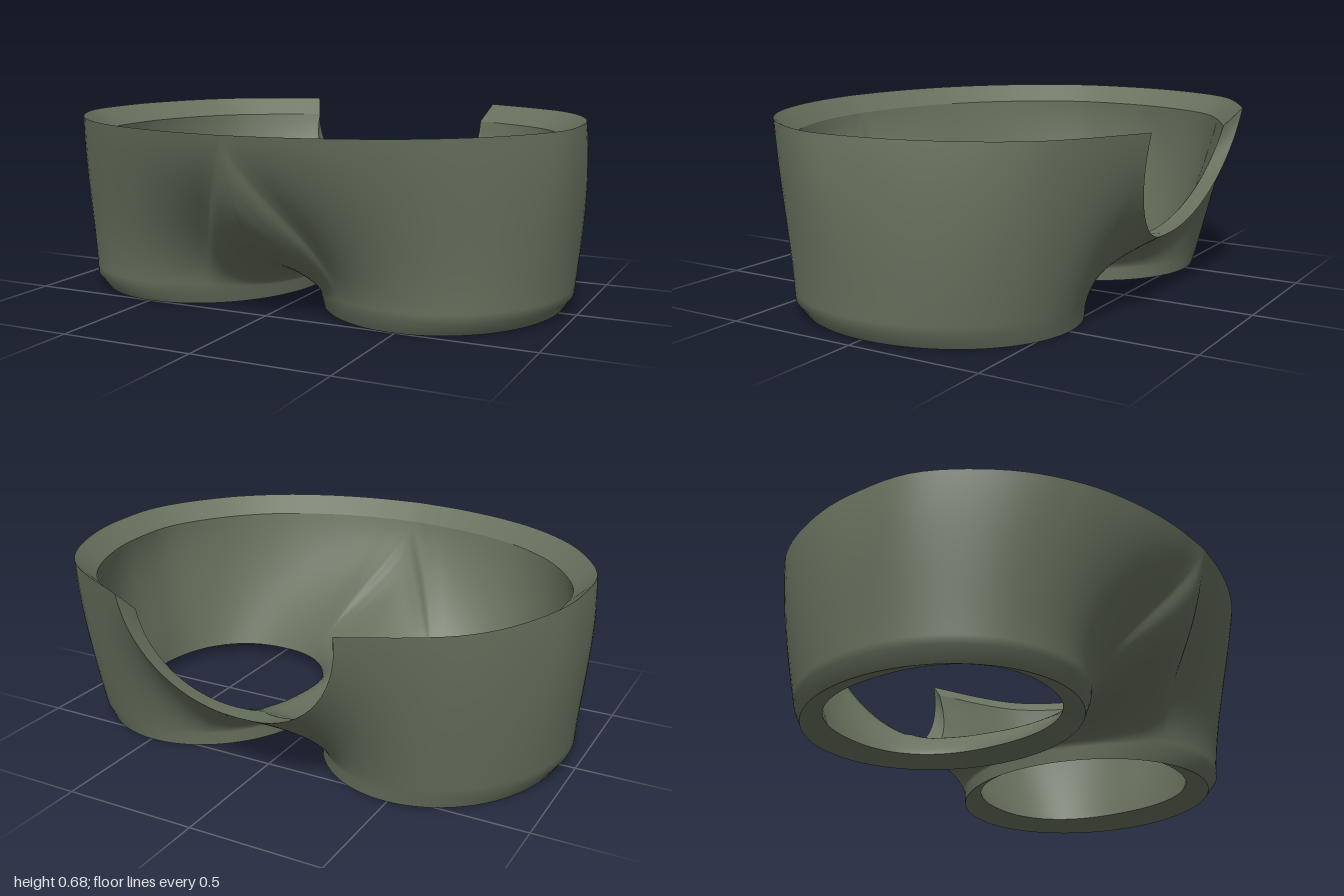
import * as THREE from 'three';
import { mergeVertices } from 'three/addons/utils/BufferGeometryUtils.js';

const V = (x, y, z) => new THREE.Vector3(x, y, z);
const rad = THREE.MathUtils.degToRad;
const lerp = THREE.MathUtils.lerp;
const bend = (v, e) => Math.sign(v) * Math.pow(Math.abs(v), e);

// Centre seams from front waist, under the crotch, to the back opening: y, z
const SEAM_ANGLES = [118, 124, 130, 138, 152, 175, 200, 219, 229, 235];
const OUTER_SEAM = [[0.68, 0.8], [0.5, 0.75], [0.35, 0.66], [0.22, 0.5], [0.13, 0.3],
  [0.09, 0.05], [0.1, -0.2], [0.14, -0.4], [0.19, -0.55], [0.25, -0.66]];
const INNER_SEAM = [[0.61, 0.735], [0.47, 0.68], [0.35, 0.59], [0.25, 0.46], [0.18, 0.3],
  [0.15, 0.05], [0.16, -0.2], [0.18, -0.37], [0.2, -0.46], [0.235, -0.55]];

// Half of the waist line, from the back opening to the front centre
const waistLine = new THREE.CatmullRomCurve3([
  [0.42, -0.785], [0.65, -0.665], [0.78, -0.57], [0.88, -0.43], [0.965, -0.2], [0.985, -0.02],
  [0.965, 0.2], [0.8, 0.475], [0.6, 0.64], [0.4, 0.73], [0.2, 0.78], [0, 0.8],
].map(([x, z]) => V(x, 0.68, z)));

// Leg outlines: wall start, folded bottom edge, and inner edge of the hem
const legPoint = (a, cx, cz, rx, rz, y, e = 1) =>
  V(cx + rx * bend(Math.cos(a), e), y, cz + rz * bend(Math.sin(a), e));
const cuff = (a) => legPoint(a, 0.505, -0.01, 0.465, 0.54, 0.05);
const fold = (a) => legPoint(a, 0.49, -0.02, 0.445, 0.52, 0);
const legHole = (a) => legPoint(a, 0.48, -0.025, 0.355, 0.43, 0.04, 0.88);

// Seam columns: leg angle, end point and surface normal there
function seamColumns(points) {
  const curve = new THREE.CatmullRomCurve3(
    points.map(([y, z], i) => V(rad(SEAM_ANGLES[i]), y, z)), false, 'catmullrom');
  return Array.from({ length: 41 }, (_, i) => {
    const s = curve.getPoint(i / 40), d = curve.getTangent(i / 40);
    return { a: s.x, p: V(0, s.y, s.z), n: V(0, d.z, -d.y).normalize() };
  });
}

// Waist columns, with the point where the hem ends inside
function waistColumns() {
  return Array.from({ length: 51 }, (_, i) => {
    const t = i / 50, p = waistLine.getPointAt(t), e = waistLine.getTangentAt(t);
    if (i === 50) { p.x = 0; e.set(-1, 0, 0); }
    const up = V(-0.13 * p.x, 1, 0.3 * p.z);
    return {
      a: rad(lerp(-98, 118, t)), p, n: up.cross(e).normalize(),
      lip: V(p.x * 0.92, 0.61, p.z * 0.92),
    };
  });
}

// Columns along the rounded opening in the back
function openingColumns(from, to) {
  return Array.from({ length: 17 }, (_, i) => {
    const t = i / 16, psi = t * Math.PI / 2, rise = 1 - Math.cos(psi);
    const p = V(to.p.x * Math.sin(psi), lerp(0.25, 0.68, rise), lerp(-0.66, to.p.z, Math.pow(rise, 0.7)));
    const lip = V(p.x * lerp(1, 0.92, t), p.y - lerp(0.015, 0.07, t), p.z + lerp(0.11, 0.063, t));
    return { a: rad(lerp(235, 262, t)), p, lip, n: from.n.clone().lerp(to.n, t).normalize() };
  });
}

// Smooth column from the leg at q to the upper edge at p, leaving with flare k
function wallColumn(q, p, a, n, k, rows = 20) {
  const chord = p.clone().sub(q);
  const legNormal = V(Math.cos(a), -k, Math.sin(a)).normalize();
  const t0 = chord.clone().projectOnPlane(legNormal);
  const t1 = chord.clone().projectOnPlane(n);
  return Array.from({ length: rows + 1 }, (_, j) => {
    const t = j / rows, t2 = t * t, t3 = t2 * t;
    const v = V(0, 0, 0)
      .addScaledVector(q, 2 * t3 - 3 * t2 + 1)
      .addScaledVector(t0, t3 - 2 * t2 + t)
      .addScaledVector(p, 3 * t2 - 2 * t3)
      .addScaledVector(t1, t3 - t2);
    v.x = Math.max(0, v.x);
    return v;
  });
}

// Skin a list of point columns, mirrored to both sides and welded on the centre line
function skin(columns, inward) {
  const pos = [], idx = [], rows = columns[0].length;
  for (const side of [1, -1]) {
    const base = pos.length / 3;
    columns.forEach((col) => col.forEach((q) => pos.push(q.x * side, q.y, q.z)));
    for (let i = 0; i < columns.length - 1; i++) {
      for (let j = 0; j < rows - 1; j++) {
        const A = base + i * rows + j, B = A + 1, C = A + rows, D = C + 1;
        if ((side > 0) !== inward) idx.push(A, B, C, B, D, C);
        else idx.push(A, C, B, B, C, D);
      }
    }
  }
  let g = new THREE.BufferGeometry();
  g.setAttribute('position', new THREE.Float32BufferAttribute(pos, 3));
  g.setIndex(idx);
  g = mergeVertices(g, 1e-4);
  g.computeVertexNormals();
  return g;
}

export function createModel() {
  const model = new THREE.Group();
  model.name = 'shorts';
  const cloth = new THREE.MeshStandardMaterial({ color: 0x69725f, side: THREE.DoubleSide });
  cloth.name = 'olive cloth';
  const add = (name, columns, inward = false) => {
    const mesh = new THREE.Mesh(skin(columns, inward), cloth);
    mesh.name = name;
    model.add(mesh);
  };

  const waist = waistColumns();
  const outerSeam = seamColumns(OUTER_SEAM);
  const innerSeam = seamColumns(INNER_SEAM);
  const opening = openingColumns(outerSeam[40], waist[0]);
  const around = (seam) => [...waist, ...seam.slice(1), ...opening.slice(1)];

  // Outer cloth around the hips and legs, with the rounded bottom edge
  add('outerCloth', around(outerSeam).map(({ a, p, n }) =>
    [fold(a), ...wallColumn(cuff(a), p, a, n, 0.05 + 0.2 * Math.max(0, -Math.sin(a)))]));

  // Lining from the leg holes up to the hems
  add('lining', around(innerSeam).map(({ a, p, lip, n }) =>
    wallColumn(legHole(a), lip || p, a, n, 0.1 + 0.3 * Math.abs(Math.sin(a)))), true);

  // Hems joining cloth and lining at the waist, the back opening and the legs
  add('waistHem', waist.map((c) => [c.p, c.lip]));
  add('backOpeningHem', opening.map((c) => [c.p, c.lip]));
  add('legHems', around(outerSeam).map(({ a }) => [legHole(a), fold(a)]));
  return model;
}
